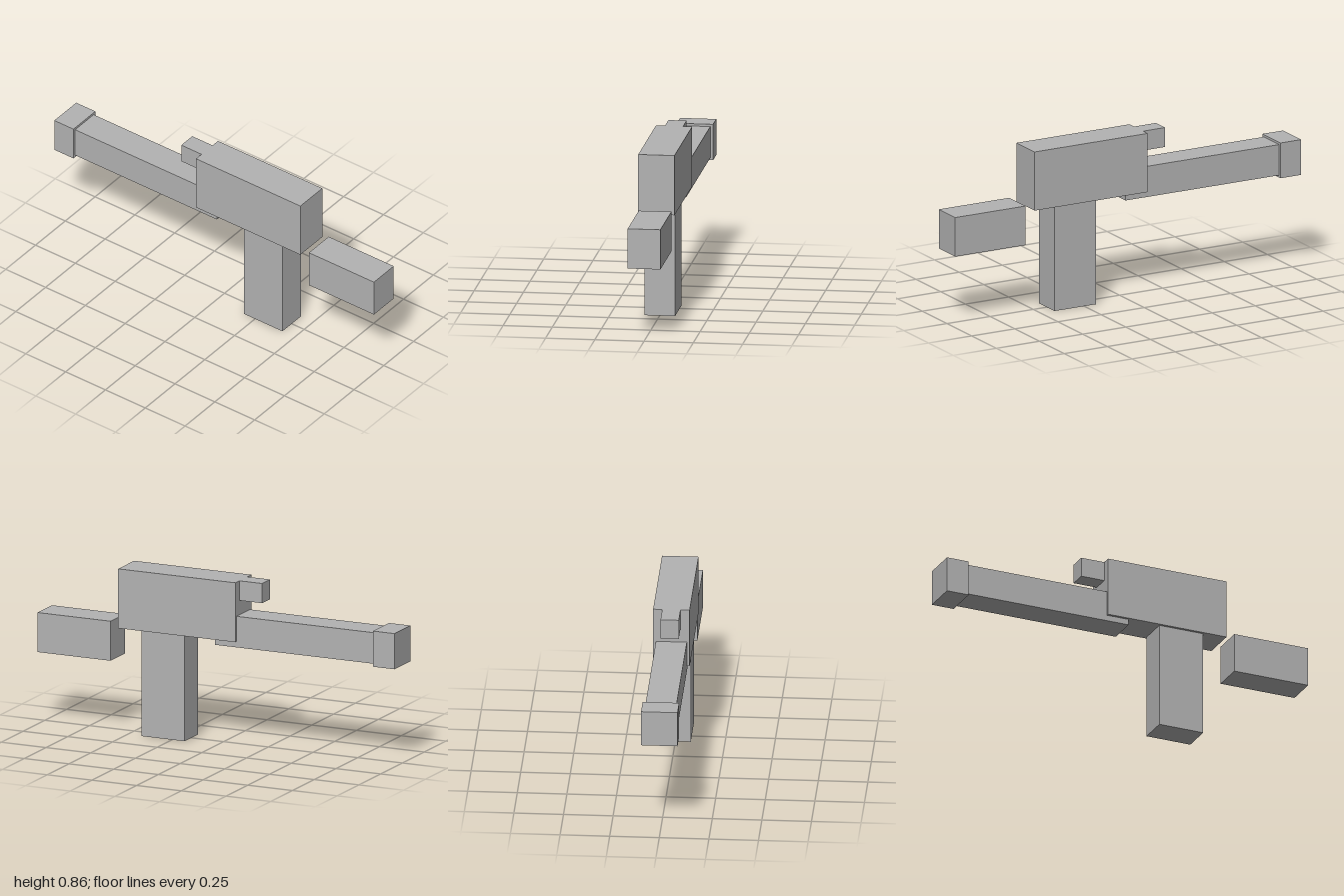
import * as THREE from 'three';

export function createModel() {
  const model = new THREE.Group();
  const grey = new THREE.MeshStandardMaterial({ color: 0xb2b2b2 });
  grey.name = 'plain grey';

  // Block centred on x, given its half width and its y and z ranges
  function block(name, halfWidth, [y0, y1], [z0, z1]) {
    const mesh = new THREE.Mesh(new THREE.BoxGeometry(halfWidth * 2, y1 - y0, z1 - z0), grey);
    mesh.name = name;
    mesh.position.set(0, (y0 + y1) / 2, (z0 + z1) / 2);
    model.add(mesh);
  }

  // Main housing with its small rear tab
  block('body', 0.092, [0.549, 0.857], [-0.11, 0.545]);
  block('rearTab', 0.046, [0.755, 0.857], [-0.237, -0.11]);

  // Long rear beam and the wider cap at its end
  block('rearBeam', 0.078, [0.519, 0.68], [-0.88, 0.01]);
  block('endCap', 0.092, [0.507, 0.692], [-1, -0.88]);

  // Upright post below the housing
  block('post', 0.078, [0, 0.549], [0.18, 0.422]);

  // Separate block in front
  block('frontBlock', 0.083, [0.373, 0.578], [0.592, 1]);

  return model;
}
